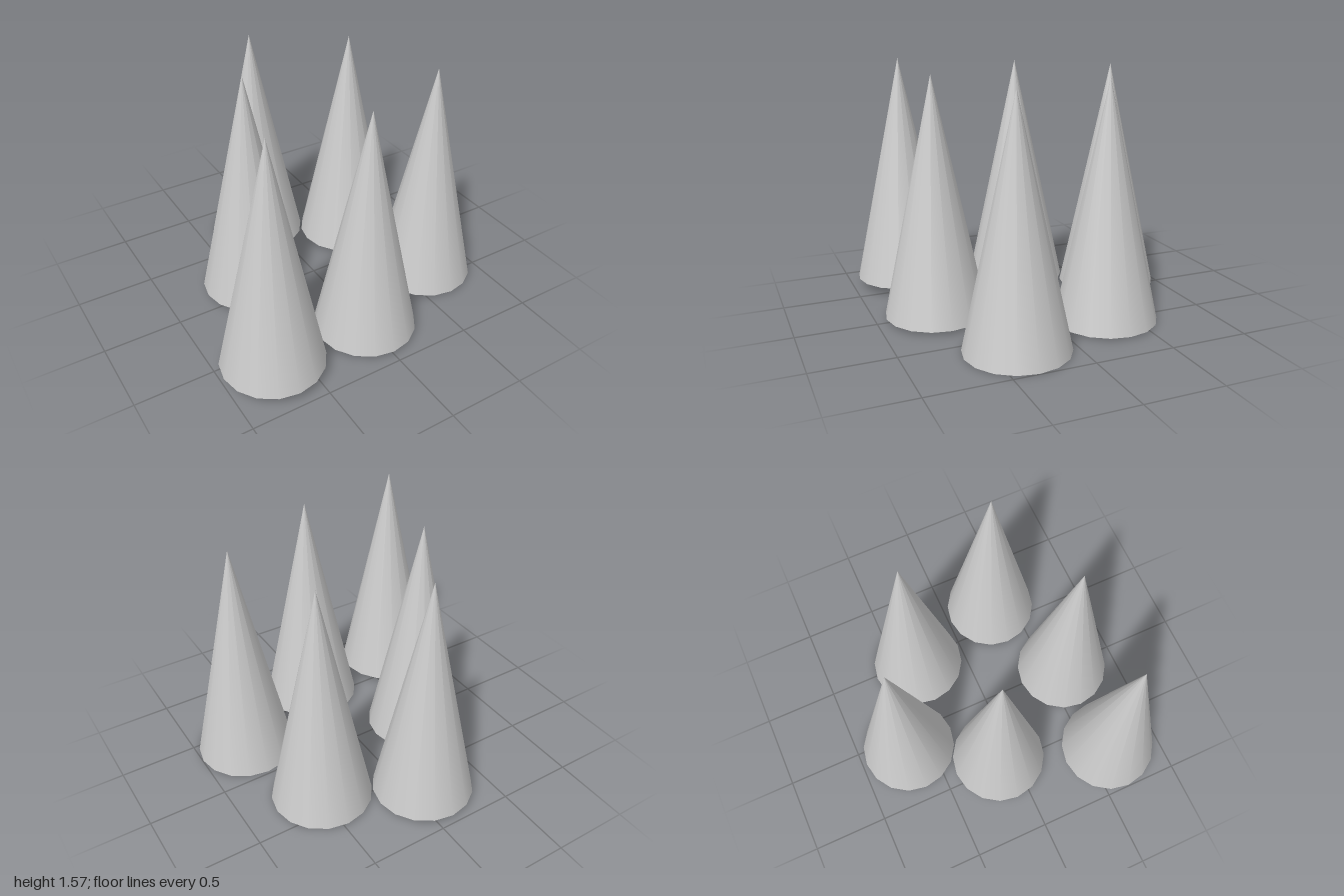
import * as THREE from 'three';

export function createModel() {
  const group = new THREE.Group();
  const material = new THREE.MeshStandardMaterial({ color: 0xcccccc });
  const radius = 0.323, height = 1.507;

  // One closed, smooth-sided cone shared by the whole cluster
  const cone = new THREE.ConeGeometry(radius, height, 16);
  cone.translate(0, height / 2, 0);

  // Base centre of each cone: x, y, z
  const bases = [
    [-0.677, 0.063, 0.642],
    [-0.43, 0.045, -0.096],
    [-0.098, 0.032, -0.647],
    [0, 0.021, 0.617],
    [0.472, 0.01, -0.338],
    [0.673, 0, 0.342],
  ];
  bases.forEach(([x, y, z], i) => {
    const mesh = new THREE.Mesh(cone, material);
    mesh.name = `cone${i + 1}`;
    mesh.position.set(x, y, z);
    group.add(mesh);
  });
  return group;
}
